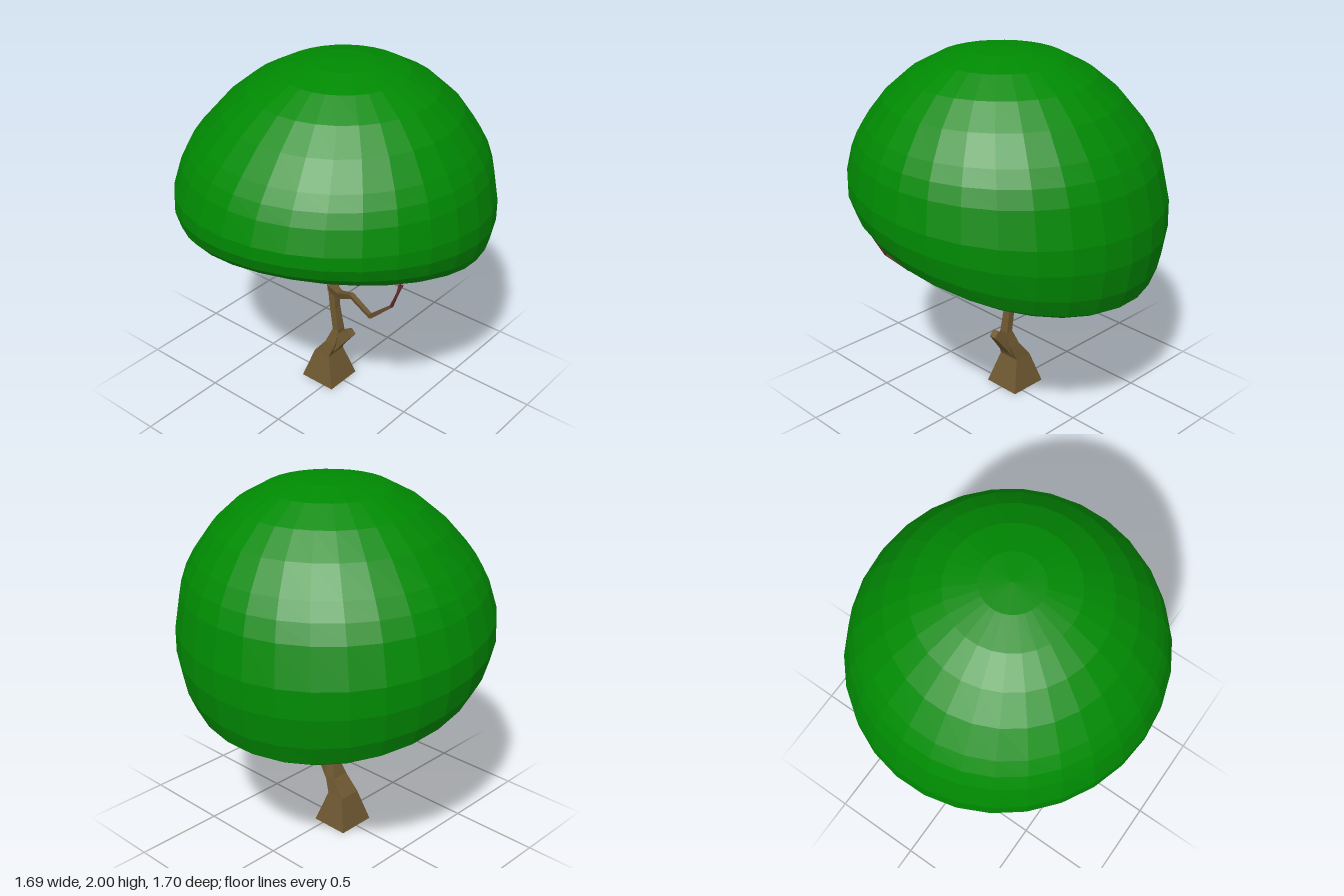
import * as THREE from 'three';

const flat = (name, color) => {
  const m = new THREE.MeshStandardMaterial({ color, flatShading: true });
  m.name = name;
  return m;
};

// Skin a list of four-cornered rings, capped at both ends
function loft(rings) {
  const pos = rings.flat().flatMap(p => [p.x, p.y, p.z]);
  const idx = [0, 2, 1, 0, 3, 2];
  for (let i = 0; i < rings.length - 1; i++) {
    for (let j = 0; j < 4; j++) {
      const a = i * 4 + j, b = i * 4 + (j + 1) % 4;
      idx.push(a, b, b + 4, a, b + 4, a + 4);
    }
  }
  const e = (rings.length - 1) * 4;
  idx.push(e, e + 1, e + 2, e, e + 2, e + 3);
  const g = new THREE.BufferGeometry();
  g.setAttribute('position', new THREE.Float32BufferAttribute(pos, 3));
  g.setIndex(idx);
  const out = g.toNonIndexed();
  out.computeVertexNormals();
  return out;
}

// Tapering square limb along points [x, y, z, radius]
function limb(points) {
  const p = points.map(q => new THREE.Vector3(q[0], q[1], q[2]));
  return loft(p.map((c, i) => {
    const t = p[Math.min(i + 1, p.length - 1)].clone().sub(p[Math.max(i - 1, 0)]).normalize();
    const a = new THREE.Vector3(0, 0, 1);
    a.addScaledVector(t, -a.dot(t)).normalize();
    const b = t.clone().cross(a);
    return [[1, 1], [-1, 1], [-1, -1], [1, -1]].map(([u, v]) =>
      c.clone().addScaledVector(a, u * points[i][3] * 0.75).addScaledVector(b, v * points[i][3] * 0.75));
  }));
}

export function createModel() {
  const model = new THREE.Group();
  model.name = 'tree';
  const leaf = flat('leaf green', 0x008a02);
  const bark = flat('bark brown', 0x6e5831);
  const branchBark = flat('branch brown', 0x6b4c33);
  const twigBark = flat('twig red brown', 0x66302d);

  const add = (name, geometry, material) => {
    const mesh = new THREE.Mesh(geometry, material);
    mesh.name = name;
    model.add(mesh);
  };

  // Hollow canopy: sloping inner ceiling, rounded lip, outer dome
  const profile = [
    [0, 1.39], [0.3, 1.33], [0.48, 1.22], [0.61, 1.09], [0.685, 0.985], [0.695, 0.953],
    [0.735, 0.947], [0.785, 0.98], [0.825, 1.055], [0.85, 1.17], [0.848, 1.28], [0.808, 1.45],
    [0.772, 1.535], [0.722, 1.615], [0.615, 1.75], [0.485, 1.863], [0.33, 1.948], [0.16, 1.99], [0, 2]
  ].map(([r, y]) => new THREE.Vector2(r, y));
  let dome = new THREE.LatheGeometry(profile, 30);
  const pos = dome.attributes.position;
  // Tilt the rim, fading out towards the crown, and lean the crown to one side
  for (let i = 0; i < pos.count; i++) {
    const x = pos.getX(i), y = pos.getY(i), z = pos.getZ(i);
    const k = Math.pow(Math.min(1, (2 - y) / 1.04), 3);
    const lean = 0.055 * THREE.MathUtils.smoothstep(y, 1.2, 2);
    pos.setXYZ(i, x + lean, y + k * (0.1 * x + 0.248 * z), z);
  }
  dome = dome.toNonIndexed();
  dome.computeVertexNormals();
  add('canopy', dome, leaf);

  // Trunk sections: left x, right x, height, half depth
  add('trunk', loft([
    [-0.16, 0.06, 0, 0.11],
    [-0.105, 0, 0.18, 0.064],
    [-0.035, 0.035, 0.27, 0.05],
    [0, 0.04, 0.36, 0.027],
    [-0.025, 0.015, 0.5, 0.022],
    [-0.042, 0.005, 0.63, 0.02]
  ].map(([l, r, y, d]) => [[r, d], [r, -d], [l, -d], [l, d]].map(([x, z]) => new THREE.Vector3(x, y, z)))), bark);
  add('trunkStub', limb([[-0.01, 0.24, 0, 0.055], [0.05, 0.31, 0, 0.045], [0.116, 0.372, 0, 0.027]]), bark);

  // Main branches, turning redder towards their ends
  const branches = {
    leftBranch: [[-0.03, 0.62, 0, 0.032], [0.1, 0.66, 0.075, 0.024], [0.26, 0.775, 0.175, 0.017],
      [0.47, 0.8, 0.285, 0.014], [0.615, 0.935, 0.3, 0.009]],
    rightBranch: [[-0.01, 0.625, 0, 0.03], [-0.22, 0.65, -0.125, 0.02], [-0.295, 0.705, -0.155, 0.015],
      [-0.4, 0.755, -0.215, 0.011], [-0.485, 0.795, -0.265, 0.008]],
    centreBranch: [[-0.02, 0.6, 0, 0.03], [-0.012, 0.68, 0, 0.026], [0.025, 0.8, 0, 0.022],
      [0, 0.94, 0, 0.017], [-0.1, 1.045, 0, 0.011]]
  };
  for (const [name, path] of Object.entries(branches)) {
    add(name, limb(path.slice(0, 4)), bark);
    add(name + 'End', limb(path.slice(3)), branchBark);
  }

  // Thin twigs forking from the branch ends
  const twigs = [
    [[0.61, 0.93, 0.3], [0.64, 1.02, 0.29], [0.655, 1.12, 0.285]],
    [[0.61, 0.93, 0.3], [0.655, 1.02, 0.325], [0.705, 1.12, 0.345]],
    [[-0.48, 0.79, -0.262], [-0.53, 0.812, -0.275], [-0.57, 0.825, -0.28]],
    [[-0.48, 0.79, -0.262], [-0.51, 0.825, -0.285], [-0.535, 0.865, -0.305]],
    [[-0.095, 1.04, 0], [-0.09, 1.12, 0.01], [-0.03, 1.25, 0.02]],
    [[-0.095, 1.04, 0], [-0.15, 1.13, -0.02], [-0.23, 1.25, -0.055]],
    [[-0.095, 1.04, 0], [-0.18, 1.085, -0.02], [-0.28, 1.11, -0.03], [-0.43, 1.11, -0.07], [-0.5, 1.1, -0.12], [-0.53, 1.085, -0.14]],
    [[-0.49, 1.1, -0.115], [-0.5, 1.12, -0.12], [-0.505, 1.14, -0.125]]
  ];
  twigs.forEach((path, i) =>
    add(`twig${i + 1}`, limb(path.map((p, j) => [...p, 0.009 - 0.004 * j / (path.length - 1)])), twigBark));

  return model;
}
